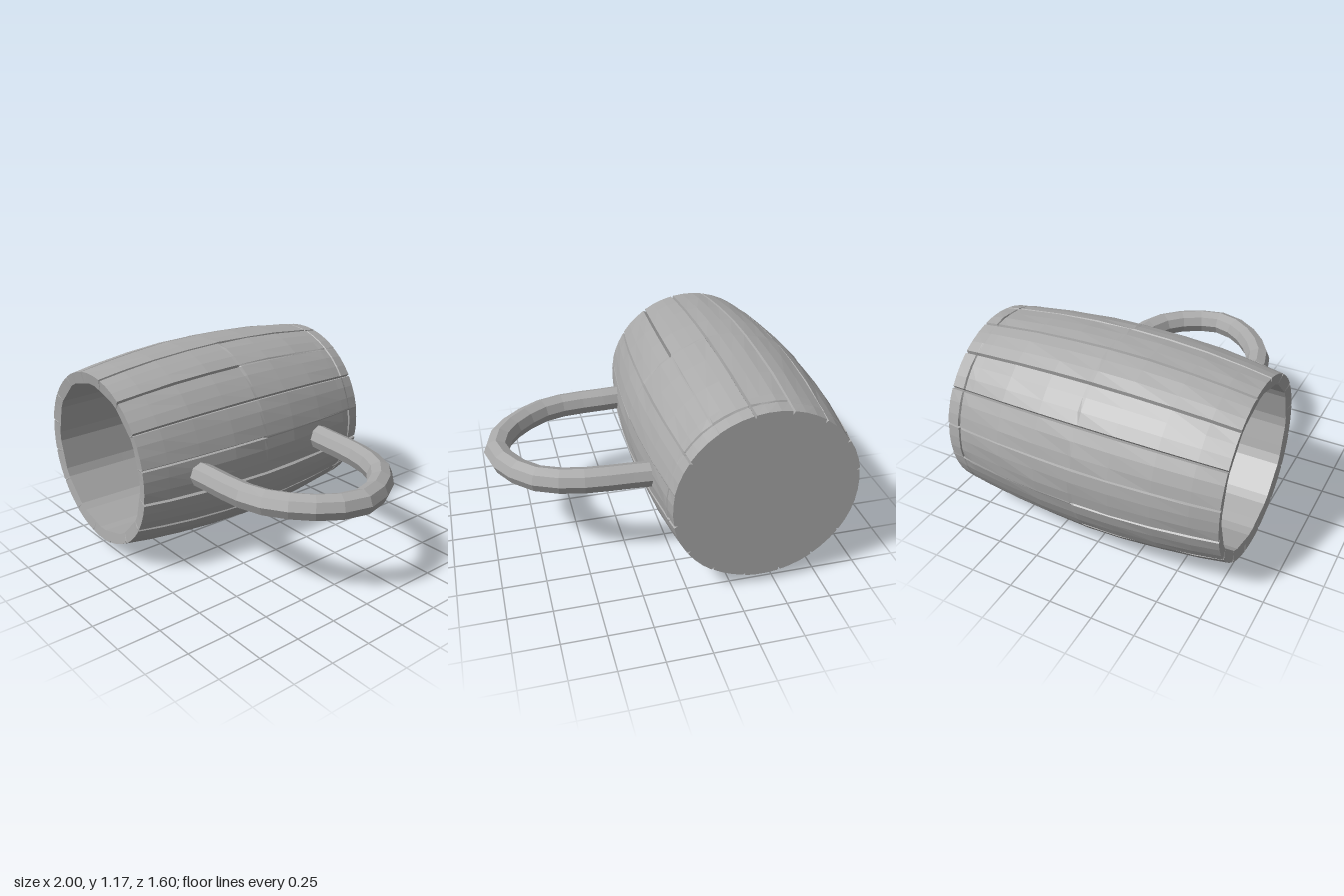
import * as THREE from 'three';

const CX = -0.42, CY = 0.585, STAVES = 16, STEP = Math.PI * 2 / STAVES;

// small seeded generator for hand-hewn irregularity
function seeded(seed) {
  return () => {
    seed = (seed * 16807) % 2147483647;
    return seed / 2147483647;
  };
}

// columns around the barrel: groove bottom, plank edge, two middles, plank edge
const columns = [];
for (let s = 0; s < STAVES; s++) {
  for (const f of [0, 0.035, 0.34, 0.67, 0.965]) {
    columns.push({ stave: s, f, a: (s - 0.5 + f) * STEP });
  }
}

// skin through rings; at(i, column) gives [radius, z]
function ringSkin(rows, at) {
  const pos = [], index = [], n = columns.length;
  for (let i = 0; i < rows; i++) {
    for (const c of columns) {
      const [r, z] = at(i, c);
      pos.push(CX + r * Math.cos(c.a), CY + r * Math.sin(c.a), z);
    }
  }
  for (let i = 0; i < rows - 1; i++) {
    for (let j = 0; j < n; j++) {
      const a = i * n + j, b = i * n + (j + 1) % n;
      index.push(a, b, b + n, a, b + n, a + n);
    }
  }
  const g = new THREE.BufferGeometry();
  g.setAttribute('position', new THREE.Float32BufferAttribute(pos, 3));
  g.setIndex(index);
  g.computeVertexNormals();
  return g;
}

export function createModel() {
  const group = new THREE.Group();
  const wood = new THREE.MeshStandardMaterial({ color: 0xa9a9a9, flatShading: true });
  wood.name = 'plain grey';
  const add = (name, geometry) => {
    const mesh = new THREE.Mesh(geometry, wood);
    mesh.name = name;
    group.add(mesh);
  };

  // bulging outside radius, with some groove halves left closed
  const rand = seeded(77);
  const planks = Array.from({ length: STAVES }, () => ({
    lift: (rand() - 0.5) * 0.006, front: rand() < 0.75, back: rand() < 0.75,
  }));
  const bulge = z => 0.583 - (z > 0 ? 0.07 : 0.06) * (z / 0.8) ** 2;
  const outer = (c, z) => {
    const p = planks[c.stave];
    const open = z > 0 ? p.front : p.back;
    return bulge(z) + (c.f === 0 ? (open ? -0.018 : 0) : p.lift);
  };

  // staves, with a shallow hoop groove near the closed end
  const zs = [-0.8, -0.727, -0.72, -0.713, -0.66, -0.45, -0.22, -0.01, 0.01, 0.22, 0.45, 0.65, 0.8];
  const wobble = seeded(5);
  add('staves', ringSkin(zs.length, (i, c) => {
    const z = zs[i], end = i === 0 || i === zs.length - 1;
    const rough = end || c.f === 0 ? 0 : (wobble() - 0.5) * 0.005;
    const hoop = i === 2 && c.stave % 4 !== 1 ? 0.012 : 0;
    return [outer(c, z) + rough - hoop, z];
  }));

  // closed end
  add('base', ringSkin(2, (i, c) => [i ? outer(c, -0.8) : 0, -0.8]));

  // twelve-sided hollow inside
  const side = Math.PI / 6;
  const inner = (c, r) => {
    const t = ((c.a % side) + side) % side - side / 2;
    return r * Math.cos(side / 2) / Math.cos(t);
  };
  const FLOOR = -0.04;
  add('rim', ringSkin(2, (i, c) => [i ? inner(c, 0.46) : outer(c, 0.8), i ? 0.79 : 0.8]));
  add('lining', ringSkin(3, (i, c) => [inner(c, [0.46, 0.47, 0.48][i]), [0.79, 0.4, FLOOR][i]]));
  add('floor', ringSkin(2, (i, c) => [i ? 0 : inner(c, 0.48), FLOOR]));

  // faceted loop handle
  const path = new THREE.CatmullRomCurve3([
    [0.1, -0.435], [0.16, -0.43], [0.57, -0.395], [0.77, -0.305], [0.895, -0.13], [0.93, -0.01],
    [0.895, 0.13], [0.78, 0.28], [0.57, 0.415], [0.16, 0.45], [0.1, 0.455],
  ].map(([x, z]) => new THREE.Vector3(x, 0.588, z)));
  add('handle', new THREE.TubeGeometry(path, 16, 0.073, 8, false));

  return group;
}
